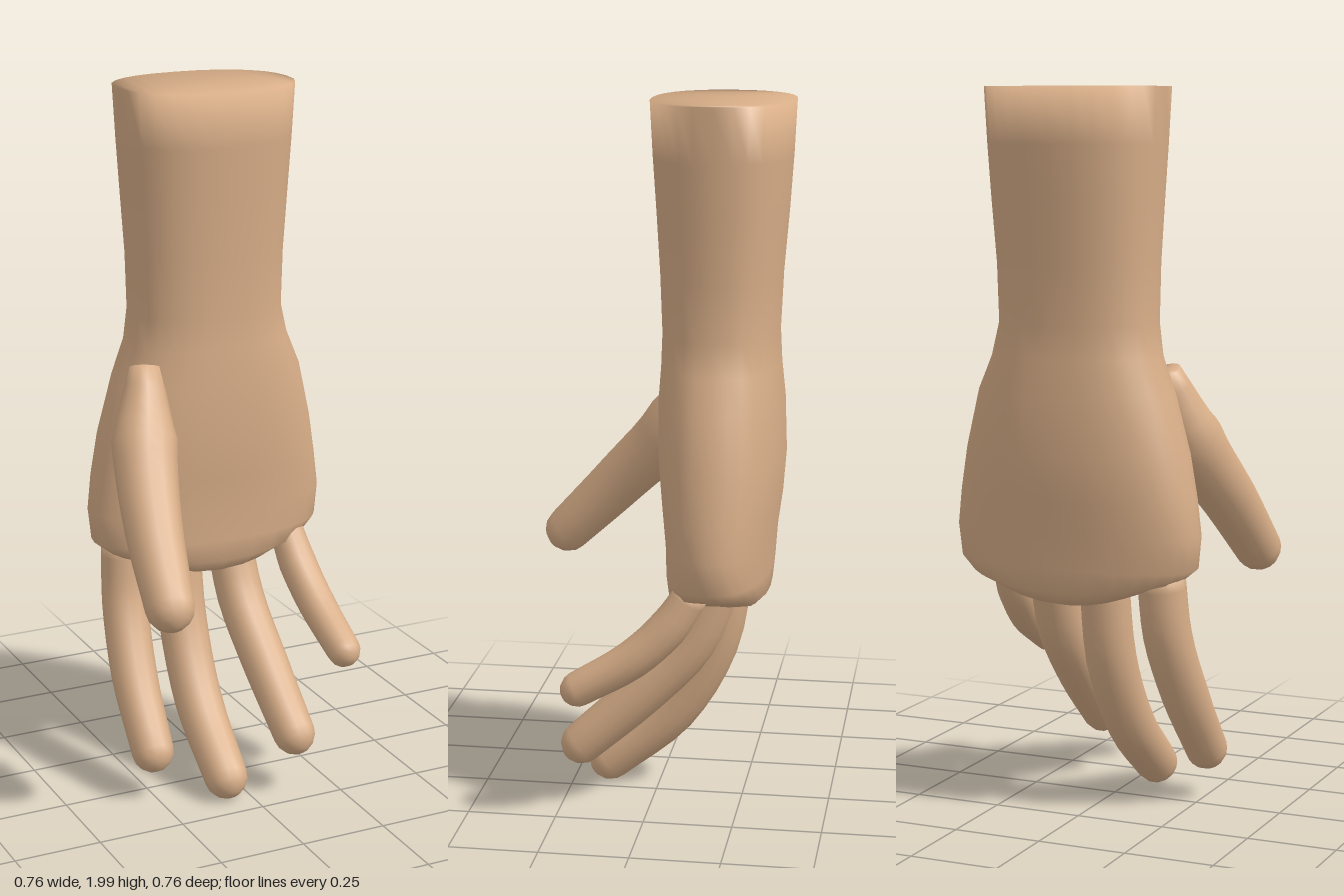
import * as THREE from 'three';

const skin = new THREE.MeshStandardMaterial({ color: 0xd8ae88 });
skin.name = 'skin';

// Skins rings of equal length; stripCap closes the first ring flat with shared normals.
function loft(rings, endPole, startPole) {
  const n = rings[0].length;
  const pos = [];
  const idx = [];
  rings.forEach((ring) => ring.forEach((p) => pos.push(p.x, p.y, p.z)));
  for (let r = 0; r < rings.length - 1; r++) {
    for (let i = 0; i < n; i++) {
      const a = r * n + i;
      const b = r * n + ((i + 1) % n);
      idx.push(a, b, a + n, b, b + n, a + n);
    }
  }
  const last = (rings.length - 1) * n;
  const end = pos.length / 3;
  pos.push(endPole.x, endPole.y, endPole.z);
  for (let i = 0; i < n; i++) idx.push(end, last + i, last + ((i + 1) % n));
  if (startPole) {
    const start = pos.length / 3;
    pos.push(startPole.x, startPole.y, startPole.z);
    for (let i = 0; i < n; i++) idx.push(start, (i + 1) % n, i);
  } else {
    for (let i = 0; i < n / 2; i++) {
      const j = (n - i) % n;
      const k = n - i - 1;
      if (i > 0) idx.push(i + 1, i, j);
      if (k !== i + 1) idx.push(i + 1, j, k);
    }
  }
  const geo = new THREE.BufferGeometry();
  geo.setAttribute('position', new THREE.Float32BufferAttribute(pos, 3));
  geo.setIndex(idx);
  geo.computeVertexNormals();
  return geo;
}

// Forearm, wrist and palm: [y, xMin, xMax, zMin, zMax, lift at the sides]
function armGeometry() {
  const sections = [
    [2.0, -0.23, 0.28, -0.383, 0.008, 0],
    [1.85, -0.222, 0.272, -0.376, 0, 0],
    [1.7, -0.213, 0.262, -0.366, -0.01, 0],
    [1.53, -0.203, 0.25, -0.352, -0.02, 0],
    [1.37, -0.2, 0.246, -0.345, -0.026, 0],
    [1.28, -0.212, 0.268, -0.35, -0.024, 0],
    [1.18, -0.25, 0.31, -0.36, -0.018, 0],
    [1.02, -0.295, 0.347, -0.364, -0.02, 0],
    [0.9, -0.318, 0.367, -0.354, -0.032, 0],
    [0.8, -0.331, 0.38, -0.34, -0.043, 0],
    [0.71, -0.322, 0.37, -0.334, -0.045, 0],
    [0.645, -0.285, 0.335, -0.328, -0.05, 0.035],
    [0.608, -0.235, 0.285, -0.295, -0.08, 0.06],
    [0.595, -0.13, 0.18, -0.24, -0.14, 0.03],
  ];
  const n = 28;
  const soft = (v) => Math.sign(v) * Math.pow(Math.abs(v), 0.86);
  const rings = sections.map(([y, x0, x1, z0, z1, lift]) =>
    Array.from({ length: n }, (_, i) => {
      const t = (i / n) * Math.PI * 2;
      const c = soft(Math.cos(t));
      const s = soft(Math.sin(t));
      return new THREE.Vector3(
        (x0 + x1) / 2 + (c * (x1 - x0)) / 2,
        y + lift * c * c,
        (z0 + z1) / 2 + (s * (z1 - z0)) / 2
      );
    })
  );
  return loft(rings, new THREE.Vector3(0.025, 0.595, -0.19));
}

// A curved digit with a rounded tip; points are [x, y, z, radius].
function digitGeometry(points) {
  const curve = new THREE.CatmullRomCurve3(points.map(([x, y, z]) => new THREE.Vector3(x, y, z)));
  const steps = 12;
  const n = 14;
  const rings = [];
  const addRing = (center, w, r) => {
    const u = new THREE.Vector3(1, 0, 0).addScaledVector(w, -w.x).normalize();
    const v = new THREE.Vector3().crossVectors(w, u);
    rings.push(
      Array.from({ length: n }, (_, i) => {
        const t = (i / n) * Math.PI * 2;
        return center.clone().addScaledVector(u, r * Math.cos(t)).addScaledVector(v, r * Math.sin(t));
      })
    );
  };
  for (let s = 0; s <= steps; s++) {
    const t = s / steps;
    const k = Math.min(Math.floor(t * (points.length - 1)), points.length - 2);
    const r = THREE.MathUtils.lerp(points[k][3], points[k + 1][3], t * (points.length - 1) - k);
    addRing(curve.getPoint(t), curve.getTangent(t), r);
  }
  // rounded fingertip
  const tip = curve.getPoint(1);
  const dir = curve.getTangent(1);
  const r = points[points.length - 1][3];
  for (const a of [0.4, 0.8, 1.2]) {
    addRing(tip.clone().addScaledVector(dir, r * Math.sin(a)), dir, r * Math.cos(a));
  }
  return loft(rings, tip.clone().addScaledVector(dir, r), curve.getPoint(0));
}

const digits = {
  thumb: [
    [-0.195, 1.235, -0.105, 0.045],
    [-0.235, 1.05, -0.025, 0.092],
    [-0.285, 0.86, 0.145, 0.08],
    [-0.312, 0.69, 0.312, 0.068],
  ],
  indexFinger: [
    [-0.225, 0.7, -0.2, 0.066],
    [-0.235, 0.52, -0.175, 0.067],
    [-0.25, 0.33, -0.08, 0.066],
    [-0.256, 0.15, 0.06, 0.06],
  ],
  middleFinger: [
    [-0.058, 0.68, -0.205, 0.068],
    [-0.06, 0.44, -0.16, 0.07],
    [-0.065, 0.23, -0.04, 0.069],
    [-0.066, 0.067, 0.145, 0.062],
  ],
  ringFinger: [
    [0.1, 0.7, -0.2, 0.066],
    [0.108, 0.5, -0.12, 0.068],
    [0.118, 0.34, 0.025, 0.066],
    [0.126, 0.185, 0.195, 0.06],
  ],
  littleFinger: [
    [0.262, 0.69, -0.14, 0.048],
    [0.272, 0.59, -0.075, 0.055],
    [0.284, 0.495, 0.025, 0.054],
    [0.293, 0.405, 0.175, 0.049],
  ],
};

export function createModel() {
  const hand = new THREE.Group();
  hand.name = 'hand';
  const add = (name, geo) => {
    const mesh = new THREE.Mesh(geo, skin);
    mesh.name = name;
    hand.add(mesh);
  };
  add('forearmAndPalm', armGeometry());
  for (const [name, points] of Object.entries(digits)) add(name, digitGeometry(points));
  return hand;
}
